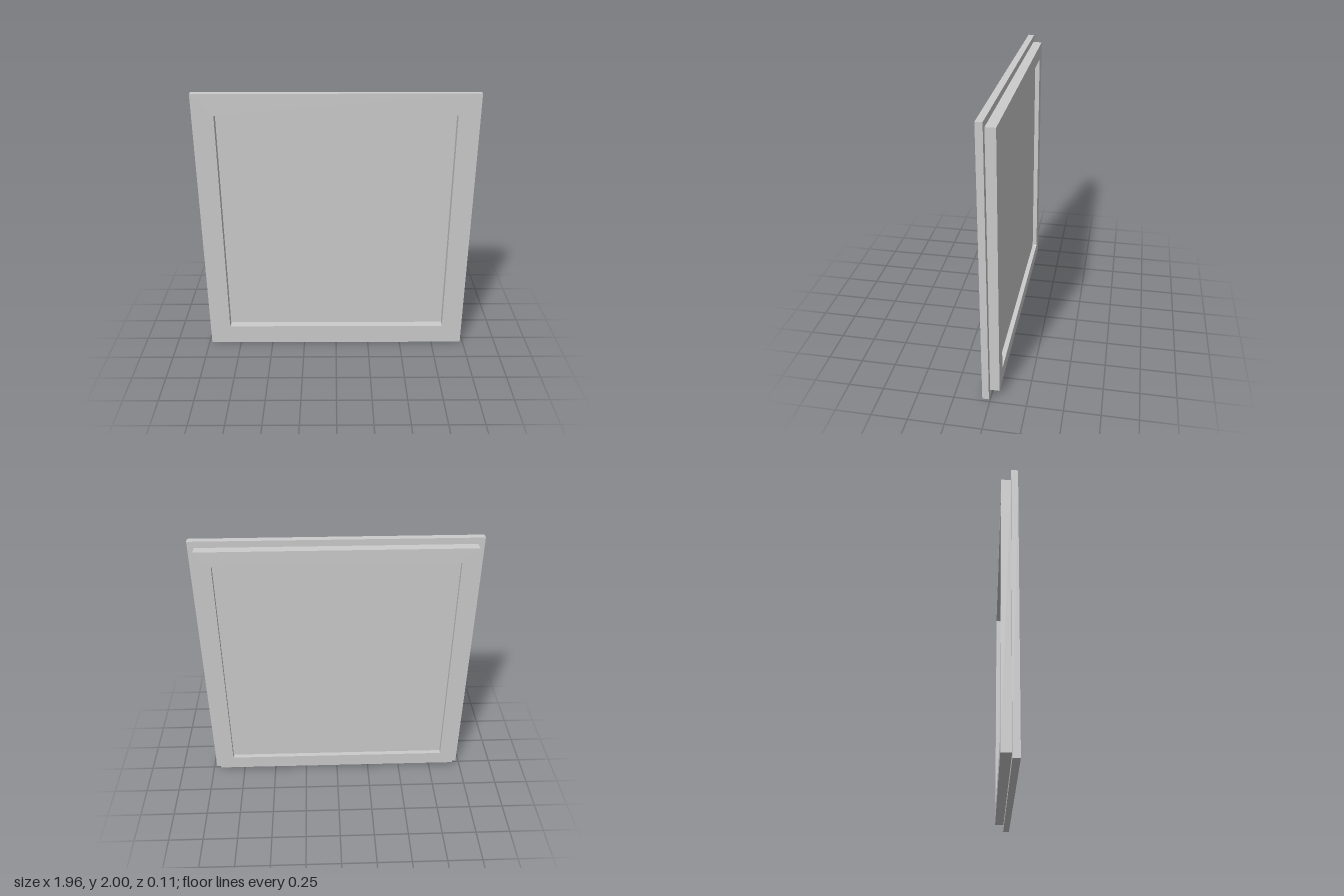
import * as THREE from 'three';

const material = new THREE.MeshStandardMaterial({ color: 0xcccccc });
const CENTER_Y = 1;

// Traces a centred rectangle with optional small rounded corners
function traceRect(path, halfW, halfH, r = 0) {
  if (r === 0) {
    path.moveTo(-halfW, -halfH).lineTo(halfW, -halfH).lineTo(halfW, halfH).lineTo(-halfW, halfH);
  } else {
    path.absarc(halfW - r, -halfH + r, r, -Math.PI / 2, 0);
    path.absarc(halfW - r, halfH - r, r, 0, Math.PI / 2);
    path.absarc(-halfW + r, halfH - r, r, Math.PI / 2, Math.PI);
    path.absarc(-halfW + r, -halfH + r, r, Math.PI, Math.PI * 1.5);
  }
  path.closePath();
  return path;
}

// Rectangular frame around the shared opening, from zBack to zFront
function frame(name, halfW, halfH, zBack, zFront) {
  const shape = traceRect(new THREE.Shape(), halfW, halfH);
  shape.holes.push(traceRect(new THREE.Path(), 0.828, 0.85, 0.008));
  const geometry = new THREE.ExtrudeGeometry(shape, {
    depth: zFront - zBack, bevelEnabled: false, curveSegments: 4,
  });
  const mesh = new THREE.Mesh(geometry, material);
  mesh.name = name;
  mesh.position.set(0, CENTER_Y, zBack);
  return mesh;
}

export function createModel() {
  const model = new THREE.Group();
  model.name = 'windowPanel';

  // Wide front flange and the narrower frame behind it
  model.add(frame('frontFlange', 0.979, 1, 0.01, 0.056));
  model.add(frame('rearFrame', 0.935, 0.955, -0.056, 0.01));

  // Pane set into the opening, recessed on both sides
  const pane = new THREE.Mesh(new THREE.BoxGeometry(1.67, 1.714, 0.02), material);
  pane.name = 'pane';
  pane.position.set(0, CENTER_Y, -0.012);
  model.add(pane);

  return model;
}
